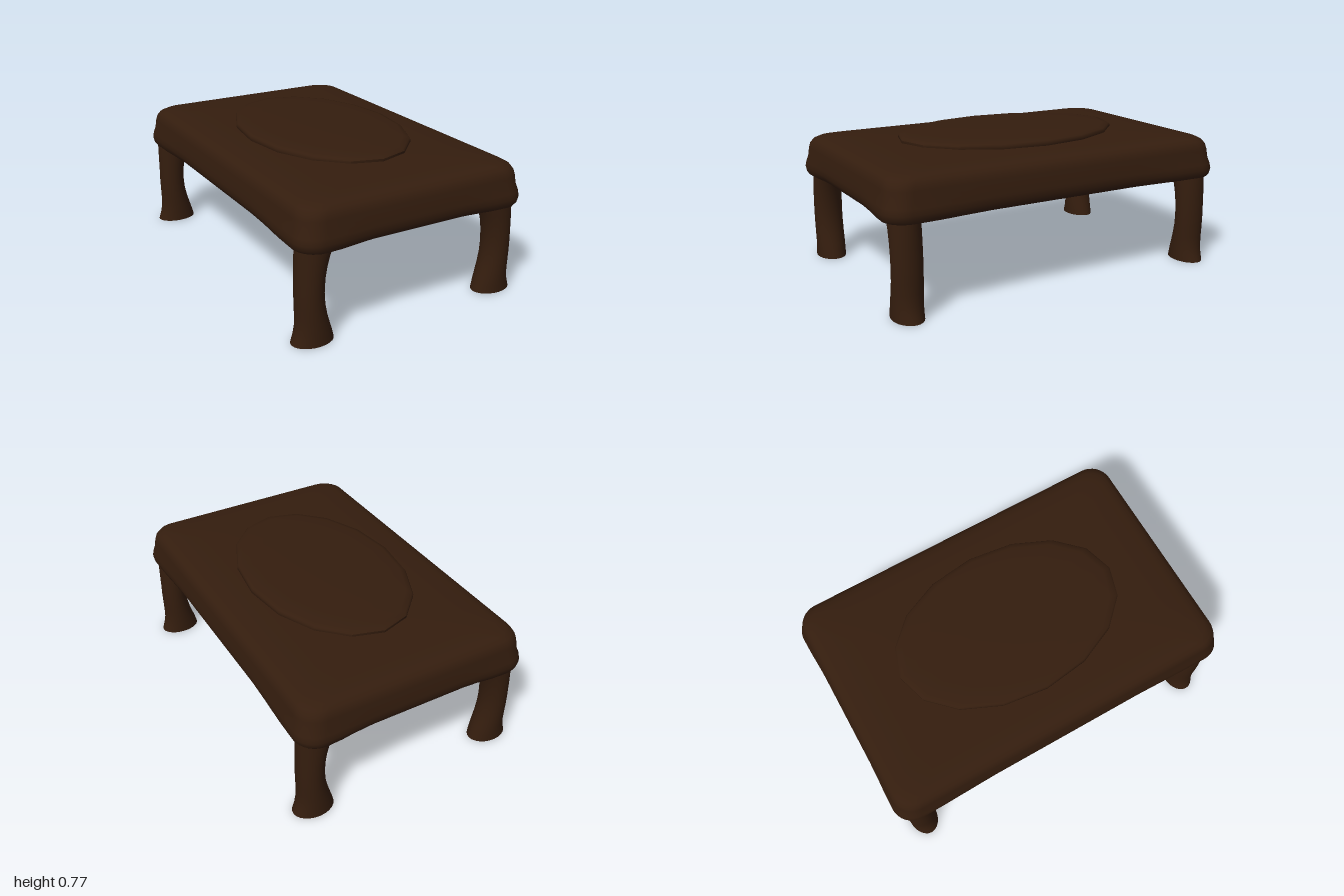
import * as THREE from 'three';
import { toCreasedNormals } from 'three/addons/utils/BufferGeometryUtils.js';

const wood = new THREE.MeshStandardMaterial({ color: 0x341d0e });

// Skins a stack of equal-length rings, listed bottom to top, and caps both ends.
function loft(rings) {
  const n = rings[0].length;
  const centre = (ring) => {
    const c = ring.reduce((s, p) => s.add(p), new THREE.Vector3()).divideScalar(n);
    return ring.map(() => c);
  };
  const all = [centre(rings[0]), ...rings, centre(rings[rings.length - 1])];
  const index = [];
  for (let r = 0; r < all.length - 1; r++) {
    for (let i = 0; i < n; i++) {
      const a = r * n + i, b = r * n + (i + 1) % n;
      // cap rows need only one triangle per side
      if (r > 0) index.push(a, b, a + n);
      if (r < all.length - 2) index.push(b, b + n, a + n);
    }
  }
  const geo = new THREE.BufferGeometry().setFromPoints(all.flat());
  geo.setIndex(index);
  return toCreasedNormals(geo, 0.75);
}

// Ring of an ellipse, running counter-clockwise seen from above
function ellipse(cx, rx, rz, y, sides) {
  return Array.from({ length: sides }, (_, i) => {
    const t = (i / sides) * Math.PI * 2;
    return new THREE.Vector3(cx + Math.cos(t) * rx, y, -Math.sin(t) * rz);
  });
}

// Rounded rectangle ring; the corners take their own inset so they can swell out
function roundedRing(sideInset, cornerInset, y) {
  const pts = [], steps = 8, radius = 0.115, along = 12;
  const signs = [[1, -1], [-1, -1], [-1, 1], [1, 1]];
  const corner = (k, s) => {
    const [sx, sz] = signs[k % 4];
    const t = ((k % 4) + s / steps) * Math.PI / 2;
    const hx = 0.66 - cornerInset, hz = 1 - cornerInset;
    return new THREE.Vector3(sx * (hx - radius) + Math.cos(t) * radius, y,
      sz * (hz - radius) - Math.sin(t) * radius);
  };
  for (let k = 0; k < 4; k++) {
    for (let s = 0; s <= steps; s++) pts.push(corner(k, s));
    const a = corner(k, steps), b = corner(k + 1, 0);
    for (let j = 1; j < along; j++) {
      const p = a.clone().lerp(b, j / along);
      const pull = (sideInset - cornerInset) * Math.min(1, 2.5 * Math.sin(Math.PI * j / along) ** 2);
      if (k % 2) p.x -= Math.sign(p.x) * pull;
      else p.z -= Math.sign(p.z) * pull;
      pts.push(p);
    }
  }
  return pts;
}

// Table slab: swollen lower lip, slight waist, softly rounded top
function slab() {
  const profile = [ // side inset, corner inset, height
    [0.04, 0.014, 0.497], [0.022, 0.005, 0.512], [0.009, 0, 0.54], [0.009, 0.005, 0.57],
    [0.014, 0.014, 0.60], [0.02, 0.02, 0.65], [0.026, 0.026, 0.675], [0.04, 0.04, 0.698],
    [0.065, 0.065, 0.713], [0.1, 0.1, 0.721], [0.16, 0.16, 0.727], [0.24, 0.24, 0.735],
    [0.4, 0.4, 0.74],
  ];
  return new THREE.Mesh(loft(profile.map((p) => roundedRing(...p))), wood);
}

// Raised oval panel
function panel() {
  const profile = [[0.97, 0.715], [1, 0.735], [1, 0.752], [0.985, 0.761], [0.93, 0.767], [0.7, 0.772], [0.35, 0.775]];
  return new THREE.Mesh(loft(profile.map(([s, y]) => ellipse(0, 0.425 * s, 0.645 * s, y, 16))), wood);
}

// Curved leg: straight outer face, hollowed inner face, flared foot
function leg() {
  const profile = [ // height, inner x, outer x
    [0, 0.437, 0.662], [0.04, 0.447, 0.648], [0.085, 0.461, 0.638], [0.14, 0.477, 0.636],
    [0.2, 0.489, 0.637], [0.26, 0.493, 0.638], [0.33, 0.489, 0.637], [0.39, 0.478, 0.637],
    [0.45, 0.46, 0.637], [0.49, 0.441, 0.637], [0.52, 0.432, 0.637],
  ];
  return loft(profile.map(([y, a, b]) => ellipse((a + b) / 2, (b - a) / 2, 0.08, y, 24)));
}

export function createModel() {
  const model = new THREE.Group();
  const top = slab();
  top.name = 'tableTop';
  const oval = panel();
  oval.name = 'ovalPanel';
  model.add(top, oval);

  // Four legs, the right-hand pair turned about so the hollows face inward
  const legGeometry = leg();
  for (const side of [1, -1]) {
    for (const end of [1, -1]) {
      const mesh = new THREE.Mesh(legGeometry, wood);
      mesh.name = (end > 0 ? 'front' : 'back') + (side > 0 ? 'Left' : 'Right') + 'Leg';
      mesh.rotation.y = side > 0 ? 0 : Math.PI;
      mesh.position.z = end * 0.88;
      model.add(mesh);
    }
  }
  return model;
}
